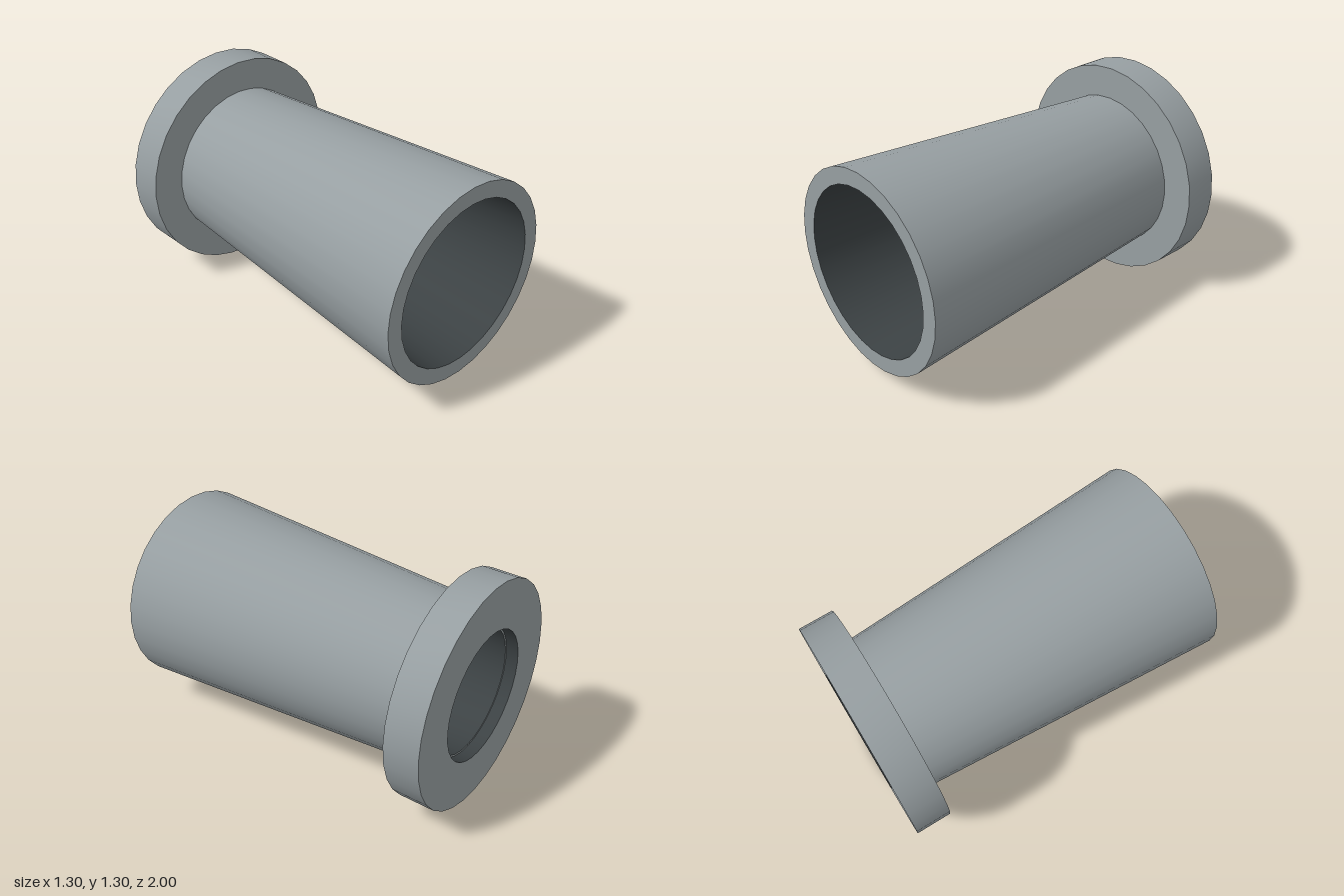
import * as THREE from 'three';
import { toCreasedNormals } from 'three/addons/utils/BufferGeometryUtils.js';

const SIDES = 32;
const FLANGE_RADIUS = 0.648;

// Surface turned around the z axis from a [radius, z] profile
function turned(name, profile, material) {
  const points = profile.map(([r, z]) => new THREE.Vector2(r, z));
  const geometry = new THREE.LatheGeometry(points, SIDES);
  geometry.rotateX(Math.PI / 2);
  const mesh = new THREE.Mesh(toCreasedNormals(geometry, Math.PI / 6), material);
  mesh.name = name;
  mesh.position.y = FLANGE_RADIUS;
  return mesh;
}

export function createModel() {
  const group = new THREE.Group();
  group.name = 'flangedNozzle';
  const steel = new THREE.MeshStandardMaterial({ color: 0x979fa2 });
  const darkLining = new THREE.MeshStandardMaterial({ color: 0x3c4244 });

  // Tube widening towards the front, its rear end seated inside the flange
  group.add(turned('taperedTube', [
    [0.361, -0.93], [0.455, -0.93], [0.576, 1], [0.481, 1],
  ], steel));
  group.add(turned('tubeLining', [[0.481, 1], [0.361, -0.93]], darkLining));

  // Flat collar at the rear with a slightly wider dark bore
  group.add(turned('rearFlange', [
    [0.372, -1], [FLANGE_RADIUS, -1], [FLANGE_RADIUS, -0.795], [0.372, -0.795],
  ], steel));
  group.add(turned('flangeBore', [[0.372, -0.795], [0.372, -1]], darkLining));

  return group;
}
